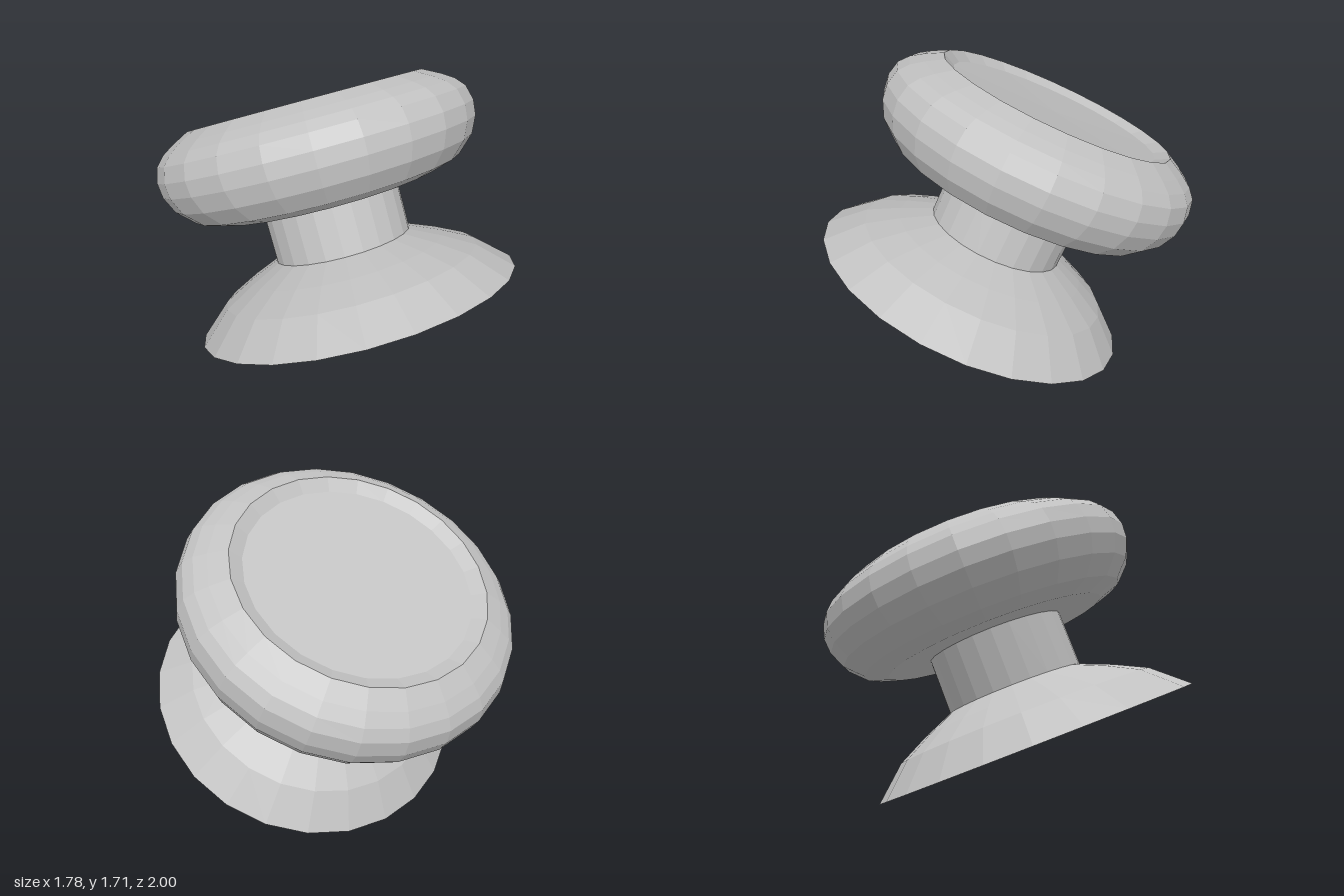
import * as THREE from 'three';

const SEGMENTS = 24;

export function createModel() {
  const group = new THREE.Group();
  group.name = 'tiltedKnob';

  const grey = new THREE.MeshStandardMaterial({ color: 0xc2c2c2 });
  grey.name = 'plain grey';
  grey.flatShading = true;
  grey.side = THREE.DoubleSide; // hollow shell, open below

  // All parts are turned about one leaning axis
  const body = new THREE.Group();
  body.name = 'leaningBody';
  body.position.set(0, 0.405, 0.21);
  body.rotation.x = -0.474;
  group.add(body);

  function turned(name, profile) {
    const points = profile.map(([r, h]) => new THREE.Vector2(r, h));
    const mesh = new THREE.Mesh(new THREE.LatheGeometry(points, SEGMENTS), grey);
    mesh.name = name;
    body.add(mesh);
  }

  // Flared open foot
  turned('base', [[0.888, 0], [0.715, 0.157], [0.55, 0.242], [0.38, 0.315]]);

  // Straight hollow neck
  turned('neck', [[0.38, 0.315], [0.38, 0.62]]);

  // Fat rounded rim of the knob
  turned('knobRim', [
    [0.38, 0.62], [0.62, 0.615], [0.74, 0.655], [0.825, 0.74], [0.865, 0.83],
    [0.872, 0.91], [0.85, 0.99], [0.805, 1.04], [0.743, 1.08], [0.65, 1.128],
  ]);

  // Sloped lip and shallow recessed top
  turned('recessLip', [[0.65, 1.128], [0.58, 1.09]]);
  turned('recessedTop', [[0.58, 1.09], [0, 1.08]]);

  return group;
}
